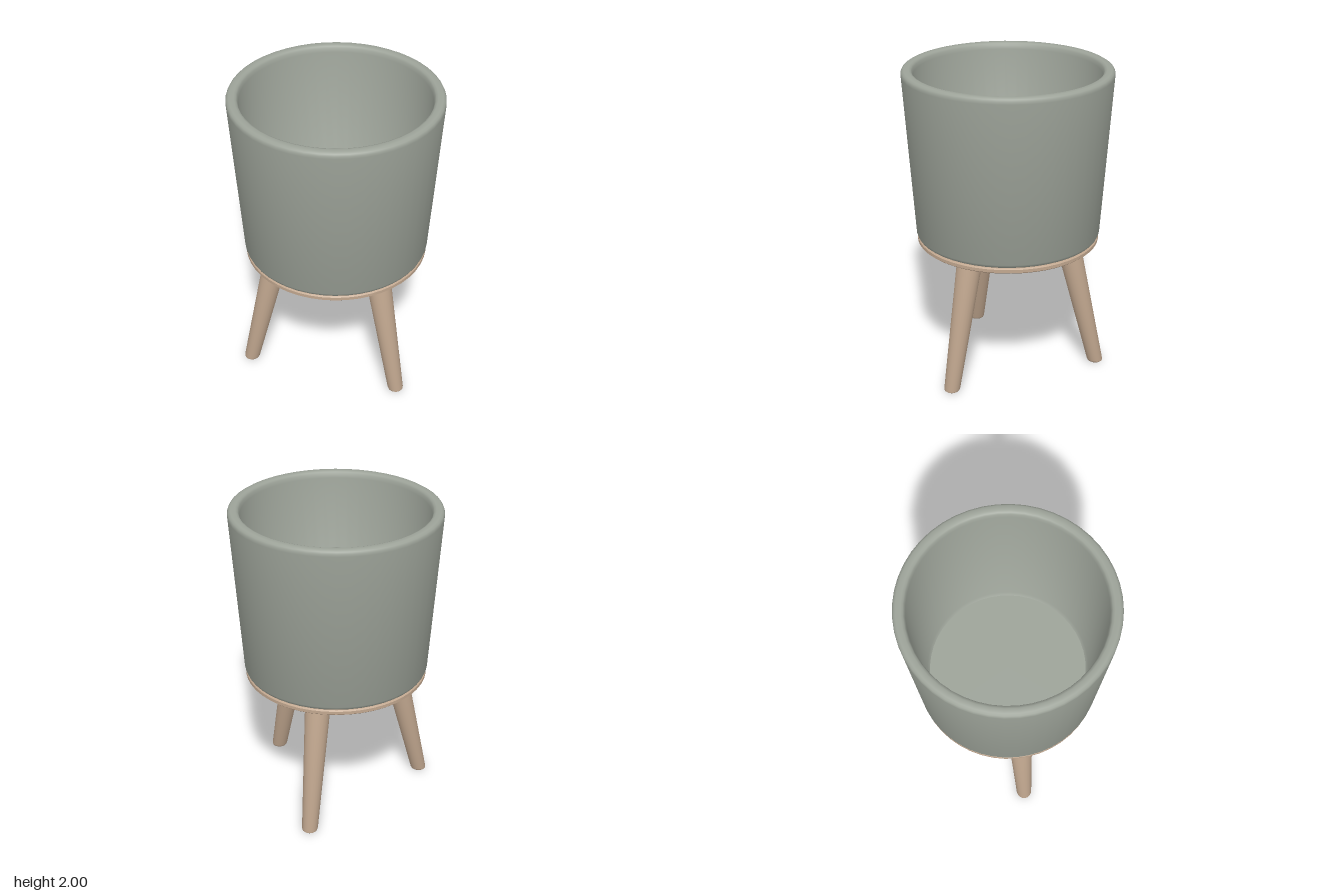
import * as THREE from 'three';
import { toCreasedNormals } from 'three/addons/utils/BufferGeometryUtils.js';

const SIDES = 48;

function lathe(profile, sides) {
  return new THREE.LatheGeometry(profile.map(([r, y]) => new THREE.Vector2(r, y)), sides);
}

export function createModel() {
  const group = new THREE.Group();
  const ceramic = new THREE.MeshStandardMaterial({ color: 0x9da399 });
  ceramic.name = 'sage ceramic';
  const wood = new THREE.MeshStandardMaterial({ color: 0xc1a78f });
  wood.name = 'pale wood';

  function add(name, geometry, material) {
    const mesh = new THREE.Mesh(toCreasedNormals(geometry, 0.7), material);
    mesh.name = name;
    group.add(mesh);
    return mesh;
  }

  // Tapered pot: underside, outer wall, rounded rim, inner wall and floor
  add('pot', lathe([
    [0, 0.915], [0.565, 0.915], [0.578, 0.922], [0.586, 0.94],
    [0.654, 1.965], [0.654, 1.98], [0.648, 1.992], [0.635, 2],
    [0.605, 2], [0.592, 1.995], [0.585, 1.983], [0.58, 1.96],
    [0.515, 1.02], [0.5, 1.0], [0, 1.0],
  ], SIDES), ceramic);

  // Round wooden plate under the pot, with eased edges
  add('basePlate', lathe([
    [0, 0.88], [0.572, 0.88], [0.58, 0.887], [0.58, 0.907], [0.572, 0.914], [0, 0.914],
  ], SIDES), wood);

  // Three splayed legs: tapered profile, leaned outwards with level ends
  for (let i = 0; i < 3; i++) {
    const leg = lathe([
      [0, 0.005], [0.04, 0.005], [0.048, 0.011], [0.051, 0.022], [0.082, 0.885], [0, 0.885],
    ], 24);
    const p = leg.attributes.position;
    for (let v = 0; v < p.count; v++) {
      p.setX(v, p.getX(v) + 0.588 - 0.234 * p.getY(v));
    }
    add('leg' + (i + 1), leg, wood).rotation.y = -THREE.MathUtils.degToRad(17 + i * 120);
  }

  return group;
}
